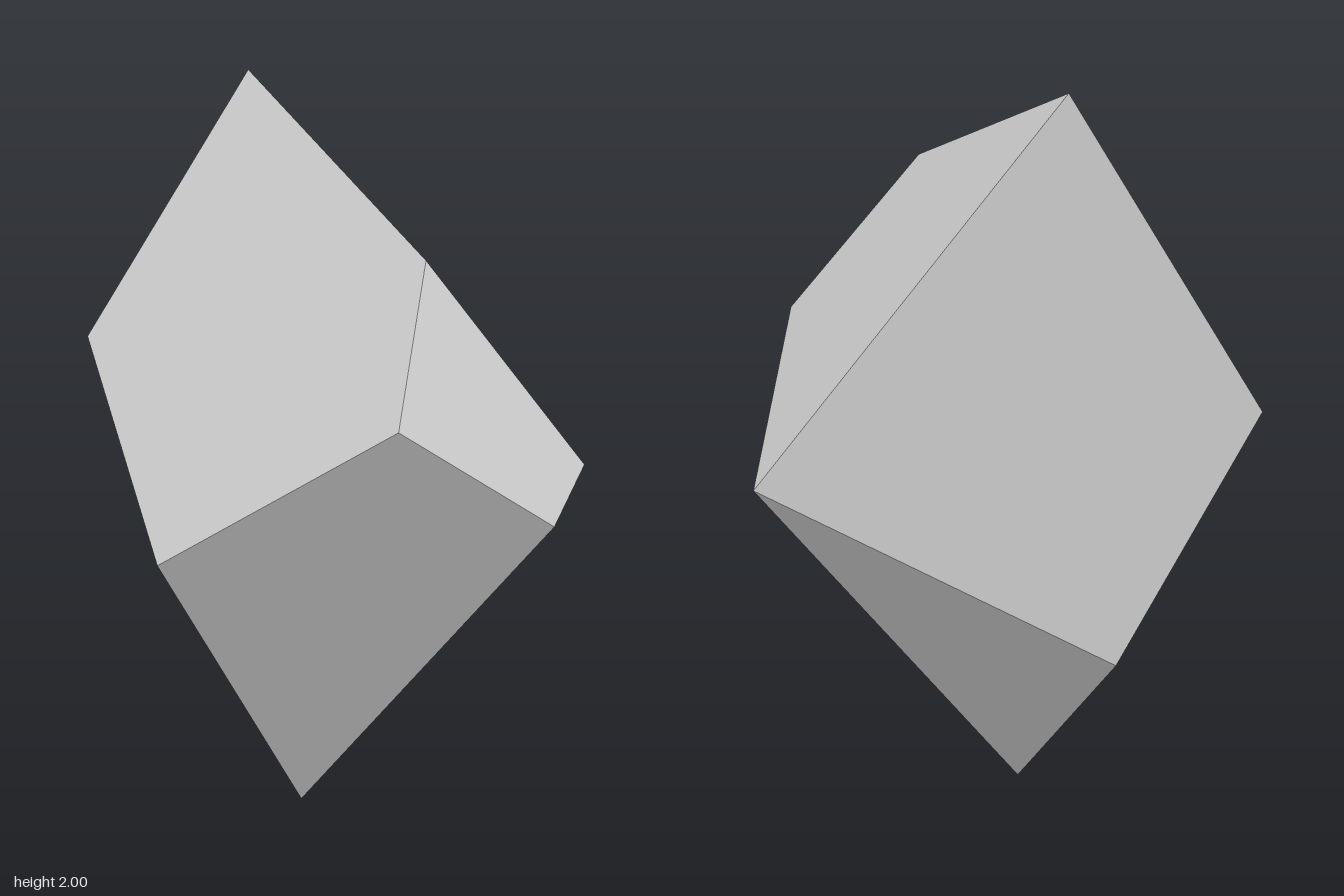
import * as THREE from 'three';

// Corners of the faceted stone
const P = {
  peak: [-0.19, 2, -0.59],
  shoulder: [0.267, 1.62, 0.363],
  side: [0.655, 1.136, 0.49],
  frontRight: [0.575, 1.005, 0.587],
  frontTop: [0.195, 1.24, 0.587],
  backLeft: [-0.658, 1.24, -0.59],
  frontLeft: [-0.42, 0.77, 0.135],
  tip: [-0.043, 0, -0.138],
  backRight: [0.575, 1.0, -0.59],
  backLow: [-0.32, 0.56, -0.59],
};

// Flat facets, corners counter-clockwise from outside
const FACETS = [
  ['peak', 'backRight', 'backLow', 'backLeft'],
  ['backLeft', 'backLow', 'tip', 'frontLeft'],
  ['frontLeft', 'tip', 'frontRight', 'frontTop'],
  ['peak', 'backLeft', 'frontLeft', 'frontTop', 'shoulder'],
  ['shoulder', 'frontTop', 'frontRight', 'side'],
  ['peak', 'shoulder', 'side', 'backRight'],
  ['side', 'frontRight', 'tip', 'backRight'],
  ['backRight', 'tip', 'backLow'],
];

// Fans each facet into triangles with one shared normal
function facetedSolid() {
  const positions = [], normals = [];
  for (const names of FACETS) {
    const c = names.map((n) => new THREE.Vector3(...P[n]));
    const normal = new THREE.Vector3();
    c.forEach((v, i) => normal.add(v.clone().cross(c[(i + 1) % c.length])));
    normal.normalize();
    for (let i = 1; i < c.length - 1; i++) {
      for (const v of [c[0], c[i], c[i + 1]]) {
        positions.push(v.x, v.y, v.z);
        normals.push(normal.x, normal.y, normal.z);
      }
    }
  }
  const g = new THREE.BufferGeometry();
  g.setAttribute('position', new THREE.Float32BufferAttribute(positions, 3));
  g.setAttribute('normal', new THREE.Float32BufferAttribute(normals, 3));
  return g;
}

export function createModel() {
  const group = new THREE.Group();
  group.name = 'facetedStone';
  const grey = new THREE.MeshStandardMaterial({ color: 0xcccccc });
  grey.name = 'stone grey';
  const stone = new THREE.Mesh(facetedSolid(), grey);
  stone.name = 'stone';
  group.add(stone);
  return group;
}
